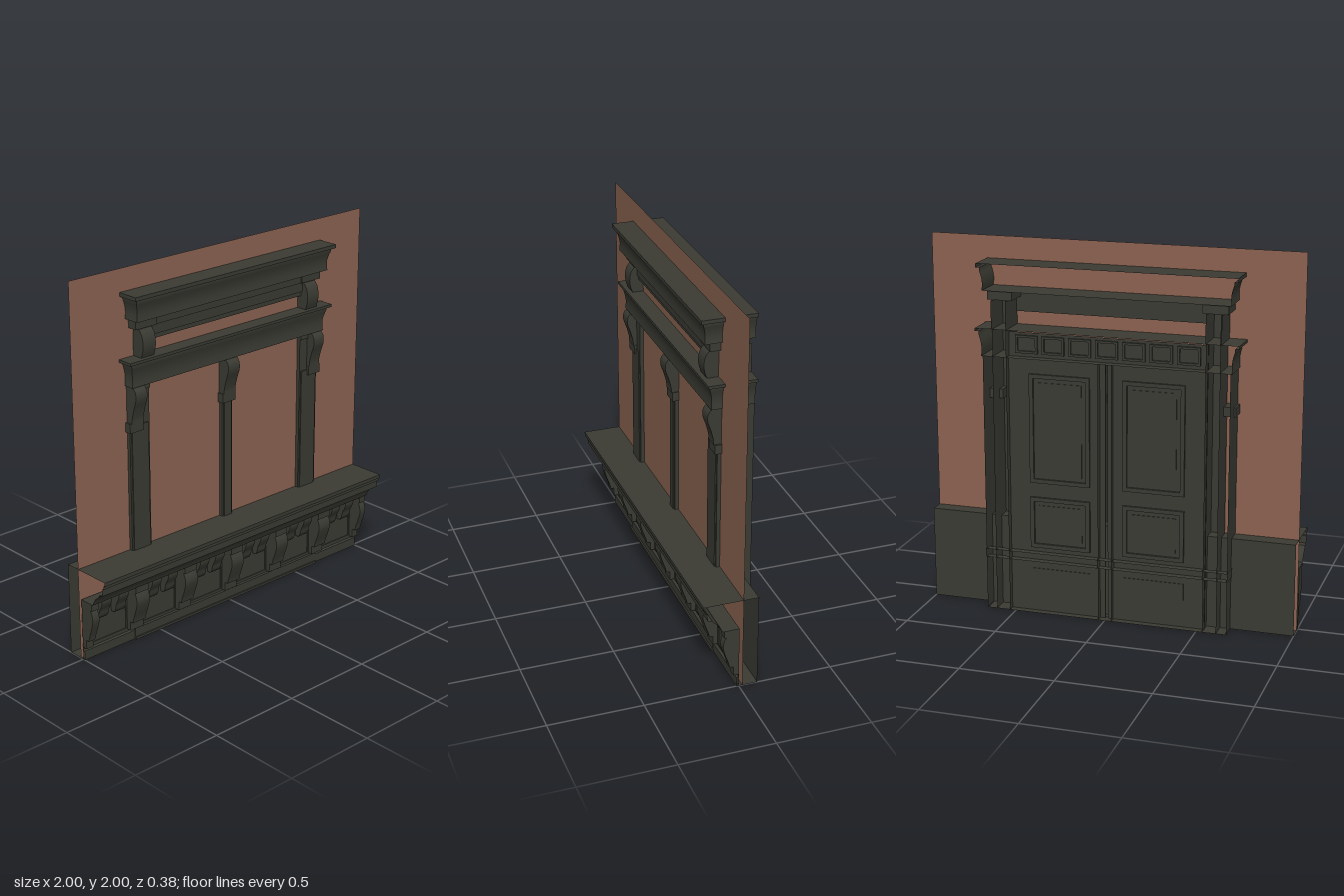
import * as THREE from 'three';
import { toCreasedNormals } from 'three/addons/utils/BufferGeometryUtils.js';

const dark = new THREE.MeshStandardMaterial({ color: 0x3b3b34, side: THREE.DoubleSide });
dark.name = 'dark painted timber';
const brick = new THREE.MeshStandardMaterial({ color: 0x8c6351, side: THREE.DoubleSide });
brick.name = 'brick';

export function createModel() {
  const root = new THREE.Group();

  const add = (name, geo, mat = dark) => {
    const m = new THREE.Mesh(geo, mat);
    m.name = name;
    root.add(m);
    return m;
  };

  // Box given by its limits
  const box = (name, x0, x1, y0, y1, z0, z1) =>
    add(name, new THREE.BoxGeometry(x1 - x0, y1 - y0, z1 - z0)
      .translate((x0 + x1) / 2, (y0 + y1) / 2, (z0 + z1) / 2));

  // Horizontal sheet
  const sheet = (name, x0, x1, y, z0, z1) =>
    add(name, new THREE.PlaneGeometry(x1 - x0, z1 - z0).rotateX(-Math.PI / 2)
      .translate((x0 + x1) / 2, y, (z0 + z1) / 2));

  // Upright sheet facing back
  const backSheet = (name, x0, x1, y0, y1, z) =>
    add(name, new THREE.PlaneGeometry(x1 - x0, y1 - y0).rotateY(Math.PI)
      .translate((x0 + x1) / 2, (y0 + y1) / 2, z));

  // Moulding wrapped round left, front and right; back left open.
  // rows: [y, half width, front z] from bottom to top
  const wrap = (name, cx, rows, zb, sides = true) => {
    const pos = [], idx = [];
    for (const [y, h, zf] of rows) {
      const b = sides ? zb : zf;
      pos.push(cx - h, y, b, cx - h, y, zf, cx + h, y, zf, cx + h, y, b);
    }
    for (let r = 0; r < rows.length - 1; r++)
      for (let k = sides ? 0 : 1; k < (sides ? 3 : 2); k++) {
        const a = r * 4 + k, b = a + 1, c = a + 4, d = a + 5;
        idx.push(a, b, d, a, d, c);
      }
    const g = new THREE.BufferGeometry();
    g.setAttribute('position', new THREE.Float32BufferAttribute(pos, 3));
    g.setIndex(idx);
    return add(name, toCreasedNormals(g, 0.5));
  };

  // Scroll bracket: side outline [z, y] smoothed, extruded across x
  const scroll = (name, x0, x1, pts, zb) => {
    const curve = new THREE.SplineCurve(pts.map(p => new THREE.Vector2(...p)));
    const s = new THREE.Shape([
      new THREE.Vector2(zb, pts[0][1]),
      new THREE.Vector2(zb, pts[pts.length - 1][1]),
      ...curve.getPoints(16).reverse(),
    ]);
    const g = new THREE.ExtrudeGeometry(s, { depth: x1 - x0, bevelEnabled: false });
    g.rotateY(-Math.PI / 2).translate(x1, 0, 0);
    return add(name, toCreasedNormals(g, 0.6));
  };

  // Rectangular picture-frame moulding
  const ring = (name, x0, x1, y0, y1, z, w, d) => {
    const s = new THREE.Shape([[x0, y0], [x1, y0], [x1, y1], [x0, y1]].map(p => new THREE.Vector2(...p)));
    s.holes.push(new THREE.Path([[x0 + w, y0 + w], [x0 + w, y1 - w], [x1 - w, y1 - w], [x1 - w, y0 + w]]
      .map(p => new THREE.Vector2(...p))));
    return add(name, new THREE.ExtrudeGeometry(s, { depth: d, bevelEnabled: false }).translate(0, 0, z));
  };

  const BACK = -0.19;

  // Brick wall
  add('brickWall', new THREE.PlaneGeometry(2, 2).translate(0, 1, -0.02), brick);

  // Ledge: moulded front, flat top, plain back, open ends
  wrap('ledgeMoulding', 0, [
    [0.34, 1, 0.0], [0.34, 1, 0.09], [0.35, 1, 0.095], [0.365, 1, 0.1], [0.385, 1, 0.115],
    [0.4, 1, 0.135], [0.415, 1, 0.145], [0.42, 1, 0.17], [0.46, 1, 0.17], [0.46, 1, 0.18],
    [0.48, 1, 0.18], [0.48, 1, 0.19], [0.5, 1, 0.19],
  ], 0, false);
  sheet('ledgeTop', -1, 1, 0.5, -0.1, 0.19);
  backSheet('baseBack', -1, 1, 0, 0.5, -0.1);
  wrap('frieze', 0, [[0, 1, 0], [0.34, 1, 0]], 0, false);
  sheet('baseUnderside', -1, 1, 0, -0.1, 0.012);
  sheet('frameUnderside', -0.66, 0.66, 0, BACK, -0.1);
  wrap('baseSkirting', 0, [[0, 1, 0.012], [0.05, 1, 0.012], [0.055, 1, 0]], 0, false);
  box('baseStep', -0.667, 0.667, 0, 0.06, 0, 0.016);
  box('baseToe', -0.667, 0.667, 0, 0.013, 0, 0.024);

  // Large frieze brackets, the end ones halved
  for (let i = -3; i <= 3; i++) {
    const c = i / 3;
    const x0 = Math.max(c - 0.043, -1), x1 = Math.min(c + 0.043, 1);
    box('friezeBracketCap', x0, x1, 0.3, 0.34, 0, 0.08);
    scroll('friezeBracket', x0, x1,
      [[0.05, 0.12], [0.057, 0.15], [0.075, 0.2], [0.086, 0.245], [0.08, 0.28], [0.07, 0.3]], 0);
    box('friezeBracketFoot', x0, x1, 0.07, 0.12, 0, 0.03);
  }
  // Panels and pairs of small modillions between them
  for (let i = -3; i < 3; i++) {
    const c = (i + 0.5) / 3;
    ring('friezePanelFrame', c - 0.123, c + 0.123, 0.07, 0.34, 0, 0.008, 0.005);
    box('friezeRail', c - 0.123, c + 0.123, 0.3, 0.34, 0, 0.02);
    for (const s of [-1, 1]) {
      const m = c + s * 0.055;
      scroll('modillion', m - 0.032, m + 0.032,
        [[0.022, 0.21], [0.035, 0.23], [0.042, 0.26], [0.055, 0.285], [0.065, 0.31], [0.065, 0.34]], 0);
    }
  }

  // Outer and middle posts, open at the back
  const post = (cx, h) => {
    wrap('post', cx, [[0, h, 0], [1.395, h, 0]], BACK);
    box('postFace', cx - h + 0.01, cx + h - 0.01, 0.5, 1.18, -0.01, 0.006);
    wrap('postPlinthBand', cx, [[0.29, h + 0.004, -0.004], [0.34, h + 0.004, -0.004]], BACK);
  };
  post(0, 0.036);
  const consolePts = [[0.02, 1.2], [0.022, 1.23], [0.035, 1.28], [0.052, 1.33], [0.05, 1.37], [0.03, 1.395]];
  scroll('middleConsole', -0.04, 0.04, consolePts, -0.02);
  box('middleConsoleFoot', -0.045, 0.045, 1.15, 1.2, -0.03, 0.016);
  for (const s of [-1, 1]) {
    const span = (a, b) => (s > 0 ? [a, b] : [-b, -a]);
    post(s * 0.597, 0.064);
    scroll('outerConsole', ...span(0.588, 0.662), consolePts, -0.02);
    box('outerConsoleFoot', ...span(0.586, 0.672), 1.15, 1.2, -0.1, 0.016);
    box('postCap', ...span(0.533, 0.588), 1.36, 1.395, -0.02, 0.008);
    // Inner jamb running up behind the lower cornice
    wrap('innerJamb', s * 0.57, [[0, 0.037, -0.03], [1.69, 0.037, -0.03]], BACK);
    // Upper scroll blocks
    scroll('upperScroll', ...span(0.53, 0.612),
      [[0.04, 1.54], [0.053, 1.58], [0.055, 1.62], [0.045, 1.66], [0.02, 1.69]], -0.02);
    wrap('upperPost', s * 0.571, [[1.54, 0.041, 0.01], [1.69, 0.041, 0.01]], BACK);
    box('upperBlock', ...span(0.505, 0.64), 1.69, 1.74, -0.165, 0.036);
  }

  // Bars under the upper cornice
  box('upperFrieze', -0.505, 0.505, 1.69, 1.74, -0.03, 0.03);
  box('upperRail', -0.53, 0.53, 1.635, 1.69, -0.03, 0.015);
  box('upperBead', -0.53, 0.53, 1.61, 1.635, -0.03, 0.005);

  // Cornices: curved body with a projecting slab
  const cornice = (name, y0, y1, y2, h, z, slabH, slabZ) => {
    const rows = [];
    for (let i = 0; i <= 8; i++) {
      const t = i / 8;
      const o = 0.012 * (1 - t) + 0.008 * Math.sin(t * Math.PI);
      rows.push([y0 + (y1 - 0.015 - y0) * t, h - o, z - o]);
    }
    rows.push([y1 - 0.015, h, z], [y1, h, z], [y1, slabH, slabZ], [y2, slabH, slabZ]);
    wrap(name, 0, rows, BACK);
    sheet(name + 'Top', -slabH, slabH, y2, BACK, slabZ);
    sheet(name + 'Underside', -h + 0.012, h - 0.012, y0, BACK, z - 0.012);
  };
  cornice('upperCornice', 1.74, 1.86, 1.88, 0.672, 0.083, 0.692, 0.1);
  cornice('lowerCornice', 1.395, 1.525, 1.54, 0.682, 0.05, 0.704, 0.066);

  // Double doors set behind the wall
  for (const s of [-1, 1]) {
    const span = (a, b) => (s > 0 ? [a, b] : [-b, -a]);
    box('door', ...span(0.006, 0.535), 0, 1.395, -0.15, -0.14);
    for (const [y0, y1] of [[0.36, 0.64], [0.72, 1.31]]) {
      ring('doorPanelFrame', ...span(0.09, 0.42), y0, y1, -0.162, 0.022, 0.012);
      box('doorPanel', ...span(0.135, 0.375), y0 + 0.045, y1 - 0.045, -0.154, -0.15);
    }
    box('doorLowPanel', ...span(0.09, 0.42), 0.12, 0.24, -0.154, -0.15);
  }

  // Transom with a row of small panels
  backSheet('transom', -0.535, 0.535, 1.395, 1.525, -0.14);
  for (let i = -3; i <= 3; i++)
    ring('transomLight', i * 0.145 - 0.06, i * 0.145 + 0.06, 1.415, 1.51, -0.152, 0.012, 0.012);

  // Low rails crossing behind the doors
  for (const y of [0.29, 0.335]) sheet('doorRail', -0.66, 0.66, y, BACK, -0.15);

  return root;
}
